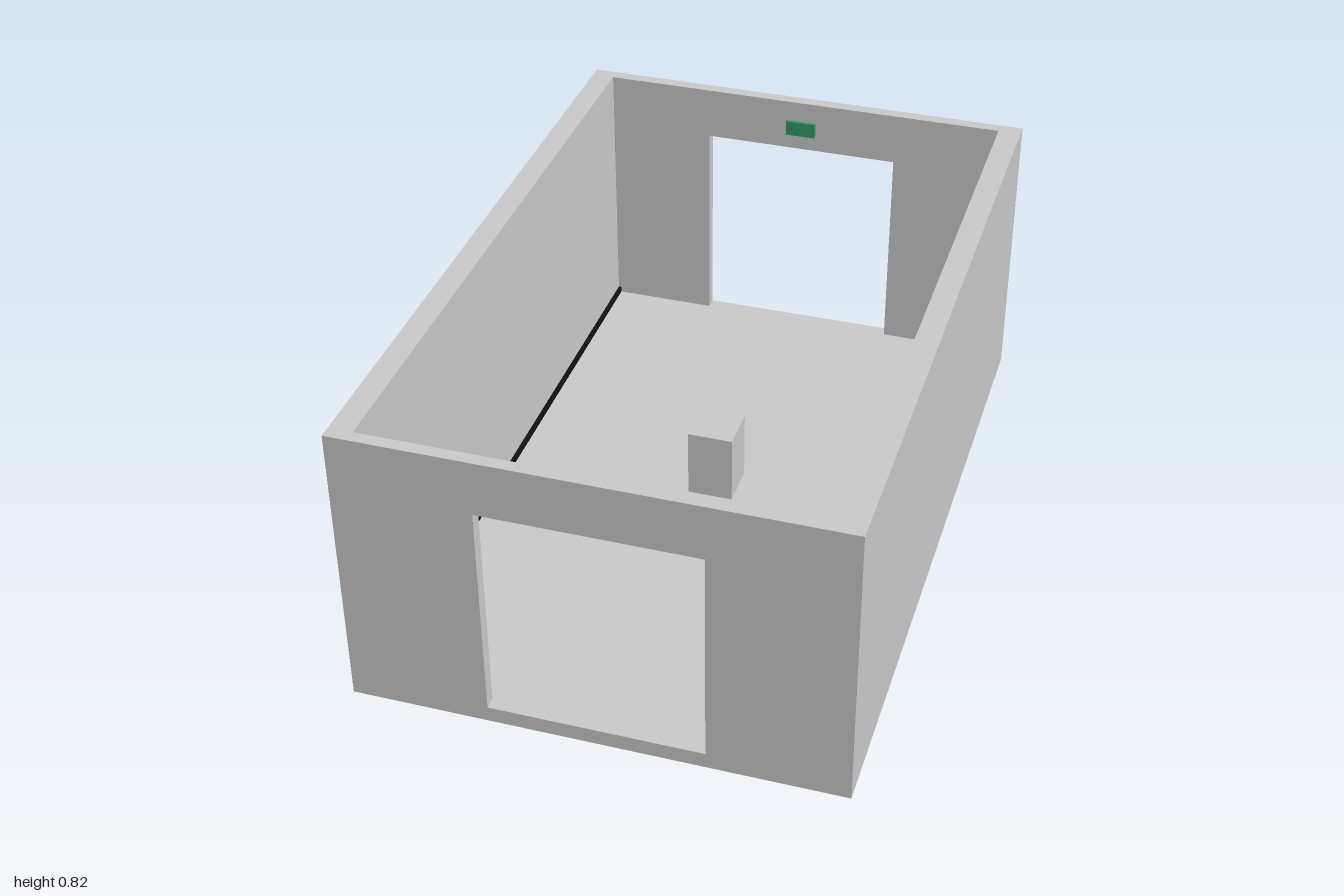
import * as THREE from 'three';

const W = 1.33, H = 0.825, D = 2;          // outer size
const SIDE = 0.065, END = 0.035, FLOOR = 0.045;
const DOOR_W = 0.58, DOOR_TOP = 0.67;

const grey = new THREE.MeshStandardMaterial({ color: 0xcccccc });
const black = new THREE.MeshStandardMaterial({ color: 0x111111 });
const green = new THREE.MeshStandardMaterial({ color: 0x339966 });

function addBox(parent, name, material, size, position) {
  const mesh = new THREE.Mesh(new THREE.BoxGeometry(...size), material);
  mesh.name = name;
  mesh.position.set(...position);
  parent.add(mesh);
  return mesh;
}

// End wall with a doorway, extruded along z
function endWallGeometry() {
  const w = W / 2, d = DOOR_W / 2;
  const shape = new THREE.Shape([[-w, 0], [w, 0], [w, H], [-w, H]].map(p => new THREE.Vector2(...p)));
  shape.holes.push(new THREE.Path(
    [[-d, FLOOR], [-d, DOOR_TOP], [d, DOOR_TOP], [d, FLOOR]].map(p => new THREE.Vector2(...p))));
  return new THREE.ExtrudeGeometry(shape, { depth: END, bevelEnabled: false });
}

export function createModel() {
  const room = new THREE.Group();
  room.name = 'openRoom';
  const innerX = W / 2 - SIDE, innerZ = D / 2 - END;

  addBox(room, 'floor', grey, [innerX * 2, FLOOR, innerZ * 2], [0, FLOOR / 2, 0]);

  const endGeometry = endWallGeometry();
  for (const s of [1, -1]) {
    const face = s > 0 ? 'front' : 'back', side = s > 0 ? 'left' : 'right';

    // Long wall and the dark strip along its foot
    addBox(room, side + 'Wall', grey, [SIDE, H, innerZ * 2], [s * (W / 2 - SIDE / 2), H / 2, 0]);
    addBox(room, side + 'FloorStrip', black, [0.008, 0.018, innerZ * 2],
      [s * (innerX - 0.004), FLOOR + 0.009, 0]);

    // Doorway wall and the sign above its opening
    const wall = new THREE.Mesh(endGeometry, grey);
    wall.name = face + 'Wall';
    wall.position.z = s > 0 ? innerZ : -D / 2;
    room.add(wall);
    addBox(room, face + 'ExitSign', green, [0.09, 0.045, 0.01], [0, 0.74, s * (innerZ - 0.005)]);
  }

  // Pedestal standing near the middle of the floor
  addBox(room, 'pedestal', grey, [0.13, 0.205, 0.13], [0, FLOOR + 0.1025, -0.07]);

  return room;
}
